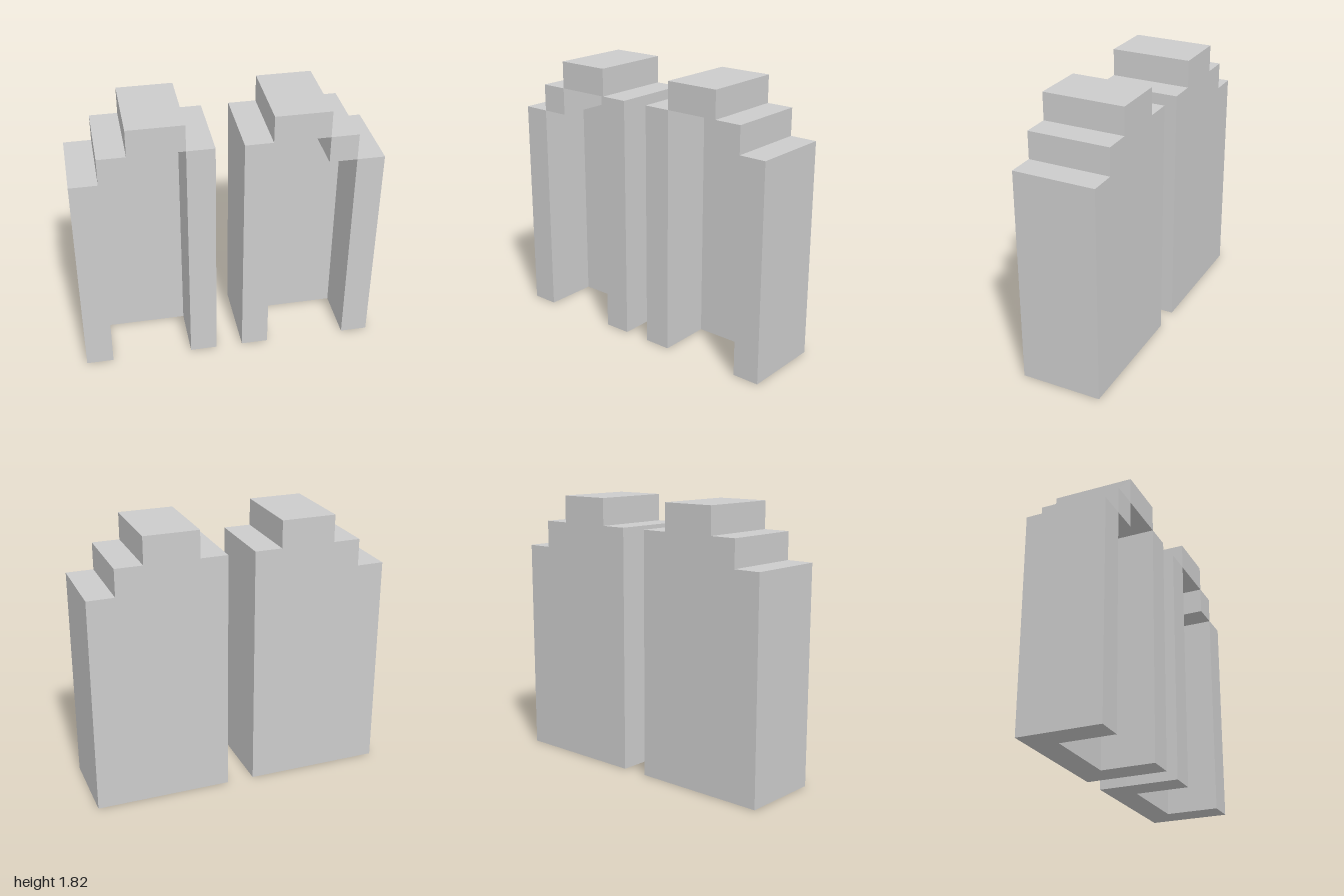
import * as THREE from 'three';

const U = 2 / 11; // one block unit; each tower is 5 wide, 10 tall and 3 deep

export function createModel() {
  const material = new THREE.MeshStandardMaterial({ color: 0xcccccc, flatShading: true });
  const model = new THREE.Group();

  // Closed stepped outline (in units) extruded from z0 to z1
  const slab = (name, points, z0, z1) => {
    const shape = new THREE.Shape(points.map(([x, y]) => new THREE.Vector2(x * U, y * U)));
    const geometry = new THREE.ExtrudeGeometry(shape, { depth: (z1 - z0) * U, bevelEnabled: false });
    geometry.translate(0, 0, z0 * U);
    const mesh = new THREE.Mesh(geometry, material);
    mesh.name = name;
    return mesh;
  };
  const rect = (x0, x1, y0, y1) => [[x0, y0], [x1, y0], [x1, y1], [x0, y1]];

  for (const side of [1, -1]) {
    const tower = new THREE.Group();
    tower.name = side > 0 ? 'leftTower' : 'rightTower';
    const mirror = (points) => points.map(([x, y]) => [x * side, y]);

    // Back wall carrying the full stepped silhouette
    const outline = [
      [0.5, 0], [5.5, 0], [5.5, 8], [4.5, 8], [4.5, 9],
      [3.5, 9], [3.5, 10], [1.5, 10], [1.5, 9], [0.5, 9],
    ];
    tower.add(slab('backWall', mirror(outline), -1.5, -0.5));

    // Pillars and stepped lintels framing the open front recess
    const frontParts = {
      innerPillar: rect(0.5, 1.5, 0, 9),
      outerPillar: rect(4.5, 5.5, 0, 8),
      topLintel: rect(1.5, 3.5, 9, 10),
      stepLintel: rect(3.5, 4.5, 8, 9),
    };
    for (const [name, points] of Object.entries(frontParts)) {
      tower.add(slab(name, mirror(points), -0.5, 1.5));
    }
    model.add(tower);
  }
  return model;
}
